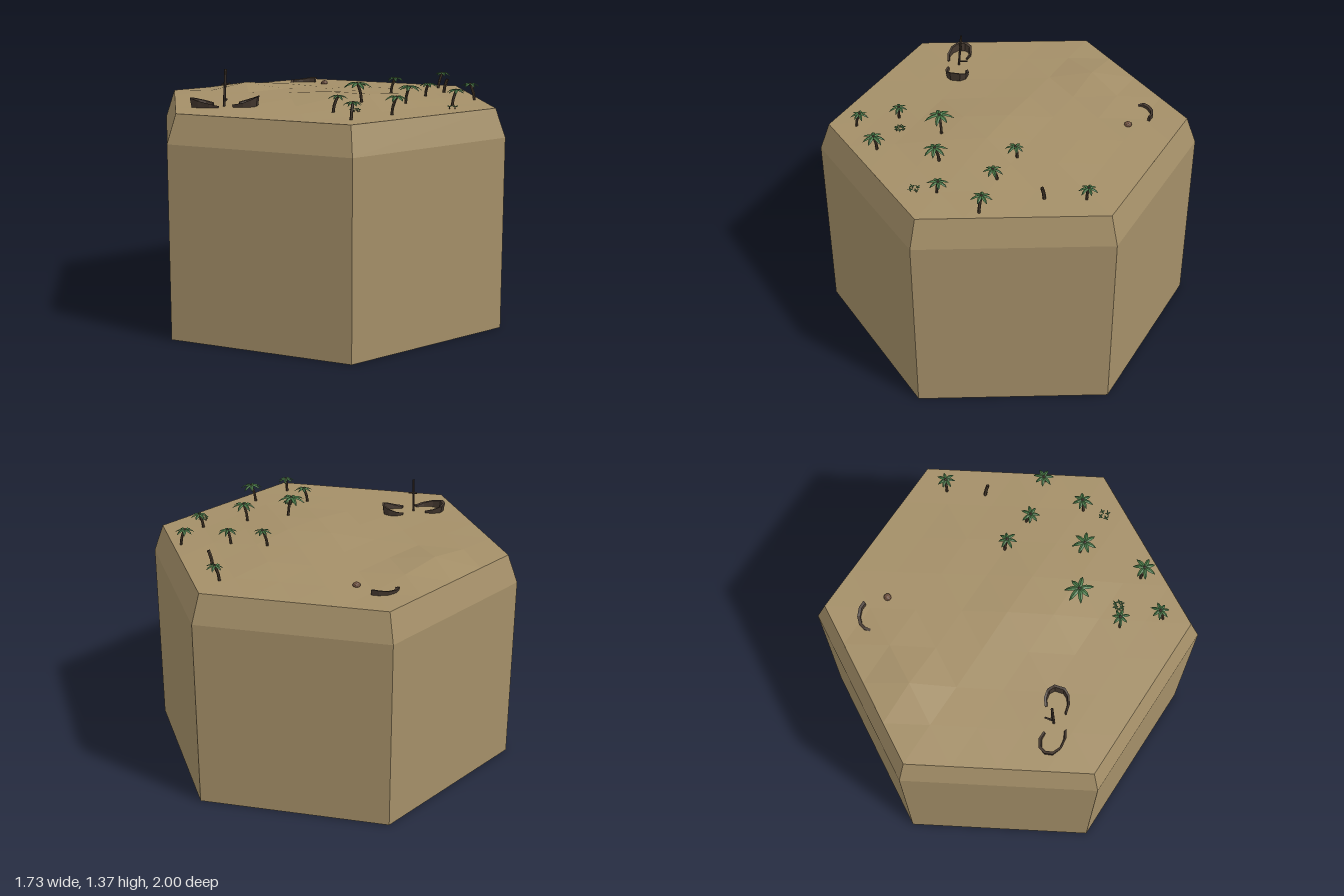
import * as THREE from 'three';
import { mergeGeometries } from 'three/addons/utils/BufferGeometryUtils.js';

const mat = (color) => new THREE.MeshStandardMaterial({ color, flatShading: true, side: THREE.DoubleSide });
const sand = mat(0xa48f68), wood = mat(0x44382f), bark = mat(0x4b3d2e), leaf = mat(0x4a7a48), clay = mat(0x6e5140);
const RIM = 1.17, TOP_R = 0.945;

// small seeded random source
let seed = 7;
const rnd = () => (seed = (seed * 16807) % 2147483647) / 2147483647;

// gentle dunes that fade out at the hexagonal rim
const bump = (x, z, cx, cz, h, sx, sz) => h * Math.exp(-(((x - cx) / sx) ** 2) - ((z - cz) / sz) ** 2);
function ground(x, z) {
  const h = bump(x, z, -0.62, 0.11, 0.037, 0.15, 0.2) + bump(x, z, 0.13, 0, 0.038, 0.42, 0.26)
    + bump(x, z, 0, -0.38, 0.018, 0.35, 0.2);
  const d = Math.max(Math.abs(x), Math.abs(x / 2 + z * 0.866), Math.abs(x / 2 - z * 0.866)) / (TOP_R * 0.866);
  return RIM + h * THREE.MathUtils.clamp((1 - d) * 4, 0, 1);
}

function add(parent, name, geometry, material) {
  const mesh = new THREE.Mesh(geometry, material);
  mesh.name = name;
  parent.add(mesh);
  return mesh;
}

function fromTriangles(positions, index) {
  const g = new THREE.BufferGeometry();
  g.setAttribute('position', new THREE.Float32BufferAttribute(positions, 3));
  g.setIndex(index);
  const flat = g.toNonIndexed();
  flat.computeVertexNormals();
  return flat;
}

// triangular lattice filling the hexagon, four rings wide
function duneSurface() {
  const N = 4, id = {}, pos = [], index = [];
  for (let q = -N; q <= N; q++) for (let r = -N; r <= N; r++) {
    if (Math.abs(q + r) > N) continue;
    const x = q * TOP_R / N * 0.866, z = (r + q / 2) * TOP_R / N;
    const edge = Math.max(Math.abs(q), Math.abs(r), Math.abs(q + r)) === N;
    id[q + ',' + r] = pos.length / 3;
    pos.push(x, edge ? RIM : ground(x, z) + rnd() * 0.006, z);
  }
  const tri = (...keys) => {
    const t = keys.map(([q, r]) => id[q + ',' + r]);
    if (t.every((i) => i !== undefined)) index.push(...t);
  };
  for (let q = -N; q <= N; q++) for (let r = -N; r <= N; r++) {
    tri([q, r], [q, r + 1], [q + 1, r]);
    tri([q + 1, r], [q, r + 1], [q + 1, r + 1]);
  }
  return fromTriangles(pos, index);
}

// one folded, drooping frond pointing along +x
function frond(len, width, droop) {
  const pos = [], index = [], n = 4;
  for (let i = 0; i <= n; i++) {
    const t = i / n, w = width * (0.35 + Math.sin(Math.PI * Math.min(1, t * 0.9 + 0.1)) * 0.65) * (i === n ? 0.3 : 1);
    const y = len * (0.45 * t - droop * t * t);
    pos.push(t * len, y - w * 0.5, -w, t * len, y, 0, t * len, y - w * 0.5, w);
    if (i < n) for (const k of [0, 1]) {
      const a = i * 3 + k;
      index.push(a, a + 1, a + 3, a + 1, a + 4, a + 3);
    }
  }
  return fromTriangles(pos, index);
}

function crown(count, len, width, droop) {
  const start = rnd() * 6;
  return mergeGeometries(Array.from({ length: count }, (_, i) =>
    frond(len * (0.85 + rnd() * 0.25), width, droop).rotateY(start + (i + rnd() * 0.3) / count * Math.PI * 2)));
}

// leaning trunk between two points, sunk slightly into the sand
function trunk(base, top, r) {
  const mid = base.clone().lerp(top, 0.5).add(new THREE.Vector3((base.x - top.x) * 0.25, 0, (base.z - top.z) * 0.25));
  return new THREE.TubeGeometry(new THREE.CatmullRomCurve3([base, mid, top]), 4, r, 6, false);
}

function palm(x, z, topY, r) {
  const g = new THREE.Group();
  g.name = 'palmTree';
  const a = rnd() * 6.28, lean = 0.025;
  const bx = x + Math.cos(a) * lean, bz = z + Math.sin(a) * lean;
  const top = new THREE.Vector3(x, topY - r * 0.2, z);
  add(g, 'trunk', trunk(new THREE.Vector3(bx, ground(bx, bz) - 0.01, bz), top, 0.0075), bark);
  add(g, 'fronds', crown(7, r, r * 0.17, 0.75), leaf).position.copy(top);
  add(g, 'crownKnot', new THREE.IcosahedronGeometry(0.011, 0), bark).position.set(x, top.y - 0.004, z);
  return g;
}

// curved plank wall through [x, z, height] points, closed thickness toward a centre
function plankWall(points, cx, cz, inner, flare) {
  const pos = [], index = [], last = (points.length - 1) * 4;
  points.forEach(([x, z, h], i) => {
    const y0 = ground(x, z) - 0.01;
    for (const [s, y] of [[flare, y0], [1, RIM + h], [inner, RIM + h - 0.003], [inner * flare, y0]])
      pos.push(cx + (x - cx) * s, y, cz + (z - cz) * s);
    if (i) for (let k = 0; k < 4; k++) {
      const a = (i - 1) * 4 + k, b = (i - 1) * 4 + (k + 1) % 4;
      index.push(a, b, a + 4, b, b + 4, a + 4);
    }
  });
  index.push(0, 2, 1, 0, 3, 2, last, last + 1, last + 2, last, last + 2, last + 3);
  return fromTriangles(pos, index);
}

function beam(x0, y0, z0, x1, y1, z1, r) {
  const a = new THREE.Vector3(x0, y0, z0), b = new THREE.Vector3(x1, y1, z1);
  return new THREE.TubeGeometry(new THREE.LineCurve3(a, b), 1, r, 6);
}

export function createModel() {
  const model = new THREE.Group();
  model.name = 'desertTile';

  // hexagonal block with a sloping shoulder
  add(model, 'hexBlock', new THREE.CylinderGeometry(1, 1, 1.02, 6, 1, true), sand).position.y = 0.51;
  add(model, 'shoulder', new THREE.CylinderGeometry(TOP_R, 1, RIM - 1.02, 6, 1, true), sand).position.y = (RIM + 1.02) / 2;
  add(model, 'underside', new THREE.CircleGeometry(1, 6).rotateZ(Math.PI / 2).rotateX(Math.PI / 2), sand);
  add(model, 'dunes', duneSurface(), sand);

  // palm grove: x, z, crown height, frond length
  for (const p of [[0.04, -0.8, 1.27, 0.05], [0.51, -0.58, 1.27, 0.055], [0.35, -0.42, 1.265, 0.052],
    [0.17, -0.34, 1.285, 0.05], [0.63, -0.37, 1.265, 0.055], [0.52, -0.14, 1.29, 0.062], [0.37, 0.08, 1.31, 0.072],
    [0.73, 0.12, 1.28, 0.062], [0.49, 0.3, 1.27, 0.048], [0.69, 0.36, 1.265, 0.05]]) model.add(palm(...p));
  add(model, 'bareTrunk', trunk(new THREE.Vector3(0.205, 1.16, -0.665), new THREE.Vector3(0.225, 1.25, -0.672), 0.009), bark);

  // low shrubs made of small tufts
  for (const [x, z, n] of [[0.71, -0.27, 4], [0.53, 0.22, 6]]) {
    const shrub = new THREE.Group();
    shrub.name = 'shrub';
    for (let i = 0; i < n; i++) {
      const a = i / n * 6.28, px = x + Math.cos(a) * 0.02, pz = z + Math.sin(a) * 0.02;
      add(shrub, 'tuft', crown(4, 0.016, 0.004, 0.3), leaf).position.set(px, ground(px, pz) + 0.012, pz);
      add(shrub, 'stem', new THREE.CylinderGeometry(0.002, 0.003, 0.025, 5), bark).position.set(px, ground(px, pz), pz);
    }
    model.add(shrub);
  }

  // broken ship: two hull halves, mast and spars
  const wreck = new THREE.Group();
  wreck.name = 'shipwreck';
  add(wreck, 'hullBow', plankWall([[-0.06, 0.53, 0.02], [-0.045, 0.49, 0.03], [-0.01, 0.46, 0.045], [0.03, 0.46, 0.057],
    [0.07, 0.5, 0.056], [0.073, 0.54, 0.045], [0.055, 0.58, 0.03], [0.015, 0.62, 0.02]], 0.01, 0.54, 0.83, 0.88), wood);
  add(wreck, 'hullStern', plankWall([[-0.125, 0.64, 0.018], [-0.165, 0.665, 0.028], [-0.19, 0.71, 0.04], [-0.18, 0.75, 0.048],
    [-0.145, 0.775, 0.05], [-0.09, 0.765, 0.04], [-0.04, 0.725, 0.026], [-0.015, 0.68, 0.014]], -0.1, 0.7, 0.83, 0.88), wood);
  add(wreck, 'mast', beam(-0.055, 1.15, 0.625, -0.065, 1.365, 0.605, 0.007), wood);
  add(wreck, 'upperSpar', beam(-0.075, 1.285, 0.625, -0.05, 1.29, 0.585, 0.005), wood);
  add(wreck, 'lowerSpar', beam(-0.09, 1.205, 0.585, -0.055, 1.2, 0.62, 0.005), wood);
  model.add(wreck);

  // half buried hull fragment and a boulder beside it
  add(model, 'buriedPlanks', plankWall([[-0.63, -0.395, 0.03], [-0.665, -0.375, 0.028], [-0.695, -0.335, 0.02],
    [-0.705, -0.29, 0.018], [-0.695, -0.255, 0.02], [-0.67, -0.235, 0.008]], -0.61, -0.31, 0.83, 0.95), wood);
  const rock = add(model, 'boulder', new THREE.IcosahedronGeometry(0.02, 1), clay);
  rock.position.set(-0.51, 1.18, -0.365);
  rock.scale.y = 0.8;
  return model;
}
